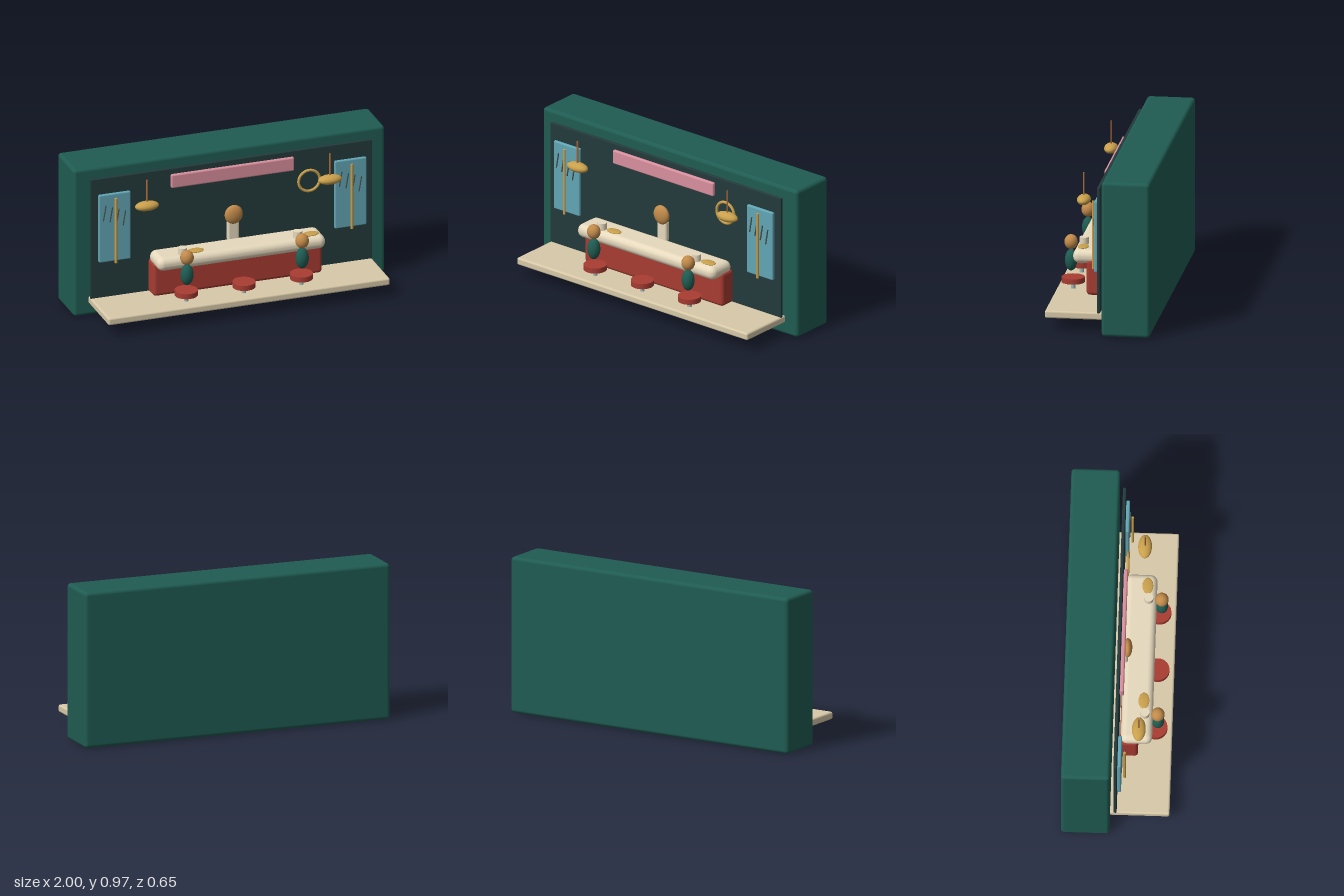
import * as THREE from 'three';
import { RoundedBoxGeometry } from 'three/addons/geometries/RoundedBoxGeometry.js';

const COLORS = {
  green: 0x1f5c52, dark: 0x233a3b, floor: 0xd8c9a8, red: 0xa83c32, cream: 0xe6d9bd, pink: 0xd98f9d,
  blue: 0x62a6b5, gold: 0xc9a04c, copper: 0xa86b3a, skin: 0xc18a4a, steel: 0x9fb8b5, mark: 0x4a5654,
};

export function createModel() {
  const model = new THREE.Group();
  model.name = 'dinerDiorama';
  const mats = {};
  for (const key in COLORS) mats[key] = new THREE.MeshStandardMaterial({ color: COLORS[key] });

  function add(name, geometry, color, x, y, z, parent = model) {
    const mesh = new THREE.Mesh(geometry, mats[color]);
    mesh.name = name;
    mesh.position.set(x, y, z);
    parent.add(mesh);
    return mesh;
  }
  // Rounded box given by its extents
  function box(name, color, [x0, x1], [y0, y1], [z0, z1], radius, parent) {
    const geo = new RoundedBoxGeometry(x1 - x0, y1 - y0, z1 - z0, 3, radius);
    return add(name, geo, color, (x0 + x1) / 2, (y0 + y1) / 2, (z0 + z1) / 2, parent);
  }
  function ellipsoid(name, color, x, y, z, rx, ry, rz, parent) {
    const geo = new THREE.SphereGeometry(1, 20, 14).scale(rx, ry, rz);
    return add(name, geo, color, x, y, z, parent);
  }
  function rod(name, color, x, y0, y1, z, r, parent, sides = 14) {
    return add(name, new THREE.CylinderGeometry(r, r, y1 - y0, sides), color, x, (y0 + y1) / 2, z, parent);
  }
  function group(name) {
    const g = new THREE.Group();
    g.name = name;
    model.add(g);
    return g;
  }

  // Setting
  box('shell', 'green', [-1, 1], [0, 0.97], [-0.325, -0.03], 0.022);
  box('backPanel', 'dark', [-0.905, 0.905], [0.12, 0.91], [-0.01, 0.01], 0.006);
  box('floor', 'floor', [-0.905, 0.905], [0.078, 0.125], [-0.04, 0.33], 0.012);
  box('sign', 'pink', [-0.395, 0.395], [0.788, 0.878], [0.012, 0.037], 0.01);

  // Counter
  box('counterBase', 'red', [-0.543, 0.543], [0.13, 0.35], [0.018, 0.127], 0.022);
  box('counterTop', 'cream', [-0.54, 0.54], [0.322, 0.408], [0.022, 0.212], 0.04);

  // Stools
  for (const x of [-0.37, 0, 0.37]) {
    const stool = group('stool');
    rod('stoolSeat', 'red', x, 0.165, 0.198, 0.23, 0.071, stool, 18);
    rod('stoolPost', 'steel', x, 0.065, 0.17, 0.23, 0.014, stool);
  }

  // Cook behind the counter
  const cook = group('cook');
  box('cookBody', 'cream', [-0.037, 0.037], [0.39, 0.525], [0.014, 0.05], 0.014, cook);
  ellipsoid('cookHead', 'skin', 0, 0.565, 0.048, 0.058, 0.061, 0.028, cook);

  // Seated guests with a cup and a plate each
  for (const x of [-0.37, 0.37]) {
    const guest = group('guest');
    ellipsoid('guestBody', 'green', x, 0.303, 0.243, 0.041, 0.067, 0.038, guest);
    ellipsoid('guestHead', 'skin', x, 0.416, 0.243, 0.042, 0.046, 0.041, guest);
    rod('cup', 'cream', x, 0.404, 0.45, 0.163, 0.028, guest, 16);
    ellipsoid('plate', 'gold', x + 0.087, 0.414, 0.155, 0.052, 0.008, 0.033, guest);
  }

  // Windows with a centre rail and slanted glints, and hanging lamps
  for (const side of [-1, 1]) {
    const cx = side * 0.758;
    const win = group('window');
    box('windowPane', 'blue', [cx - 0.102, cx + 0.102], [0.364, 0.81], [0.012, 0.035], 0.008, win);
    rod('windowRail', 'gold', cx, 0.36, 0.786, 0.053, 0.008, win);
    for (let i = 0; i < 4; i++) {
      const glint = add('glint', new THREE.BoxGeometry(0.006, 0.1, 0.008), 'mark',
        cx - 0.067 + i * 0.042, 0.69 - i * 0.016, 0.037, win);
      glint.rotation.z = -0.17;
    }
    const lamp = group('lamp');
    rod('lampCord', 'copper', side * 0.588, 0.75, 0.916, 0.134, 0.005, lamp, 8);
    ellipsoid('lampShade', 'gold', side * 0.588, 0.745, 0.134, 0.076, 0.03, 0.042, lamp);
  }

  // Wall ring
  add('wallRing', new THREE.TorusGeometry(0.068, 0.009, 10, 32), 'gold', 0.49, 0.71, 0.034);

  return model;
}
